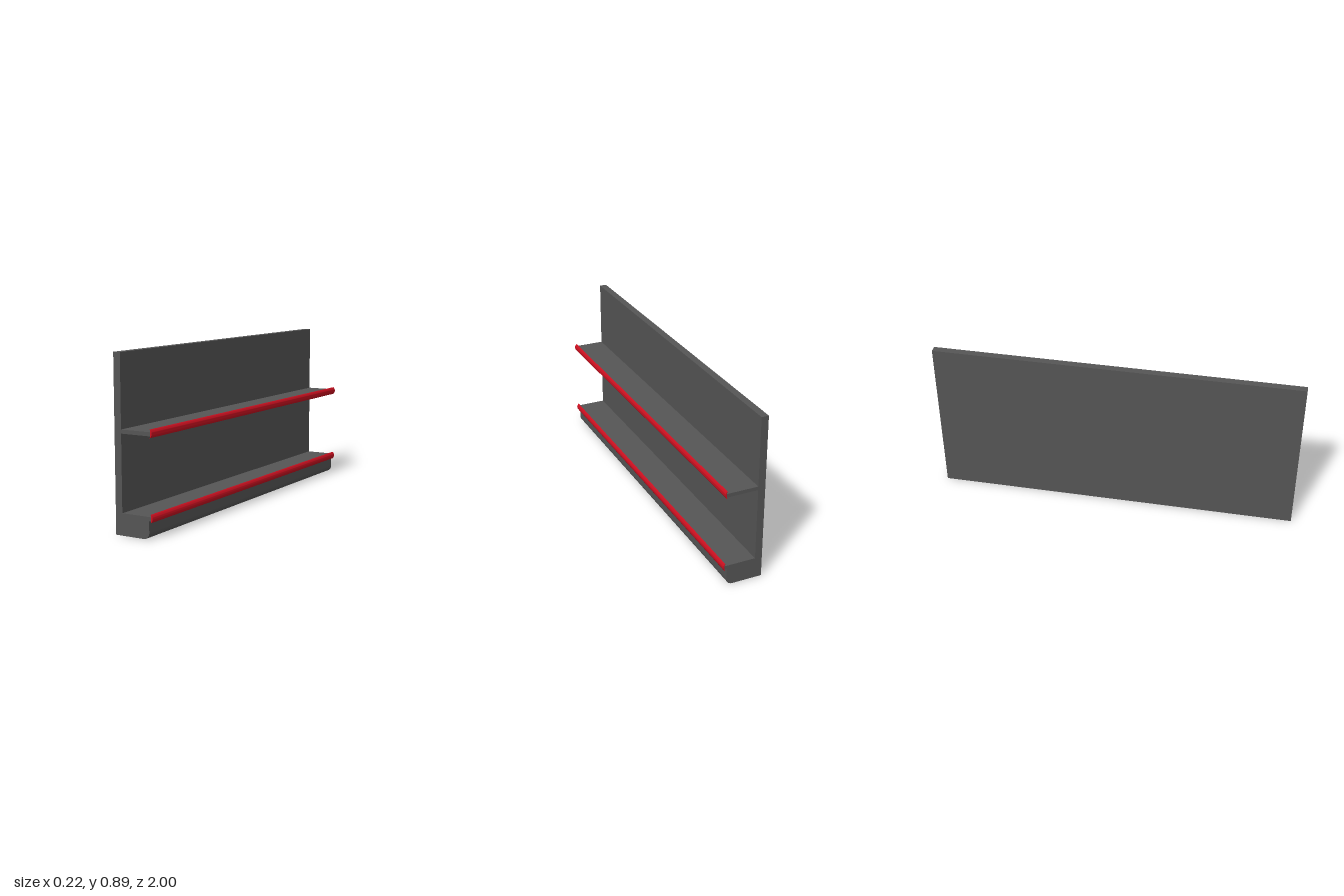
import * as THREE from 'three';
import { toCreasedNormals } from 'three/addons/utils/BufferGeometryUtils.js';

const LENGTH = 2;
const grey = new THREE.MeshStandardMaterial({ color: 0x555555 });
const red = new THREE.MeshStandardMaterial({ color: 0xcc1020 });

// Runs an x-y profile along the full length in z
function extrusion(name, shape, material) {
  const geometry = new THREE.ExtrudeGeometry(shape, { depth: LENGTH, bevelEnabled: false, curveSegments: 10 });
  geometry.translate(0, 0, -LENGTH / 2);
  const mesh = new THREE.Mesh(toCreasedNormals(geometry, 0.6), material);
  mesh.name = name;
  return mesh;
}

// Curved price rail with thin tips that hook back over the shelf edge
function railShape(y) {
  const s = new THREE.Shape();
  s.moveTo(0.097, y - 0.021);
  s.bezierCurveTo(0.112, y - 0.012, 0.112, y + 0.012, 0.097, y + 0.021);
  s.lineTo(0.1, y + 0.013);
  s.lineTo(0.1, y - 0.013);
  s.closePath();
  return s;
}

export function createModel() {
  const group = new THREE.Group();
  group.name = 'wallShelf';

  // Back panel, upper shelf and rounded base in one continuous profile
  const body = new THREE.Shape();
  body.moveTo(-0.109, 0);
  body.lineTo(0.056, 0);
  body.absarc(0.056, 0.032, 0.032, -Math.PI / 2, 0, false);
  body.lineTo(0.088, 0.092);
  body.lineTo(0.1, 0.092);
  body.lineTo(0.1, 0.112);
  body.lineTo(-0.07, 0.112);
  body.lineTo(-0.07, 0.503);
  body.lineTo(0.1, 0.503);
  body.lineTo(0.1, 0.523);
  body.lineTo(-0.07, 0.523);
  body.lineTo(-0.07, 0.895);
  body.lineTo(-0.109, 0.895);
  body.closePath();
  group.add(extrusion('panelShelfAndBase', body, grey));

  // Red rails on both shelf edges
  group.add(extrusion('lowerRail', railShape(0.103), red));
  group.add(extrusion('upperRail', railShape(0.515), red));
  return group;
}
